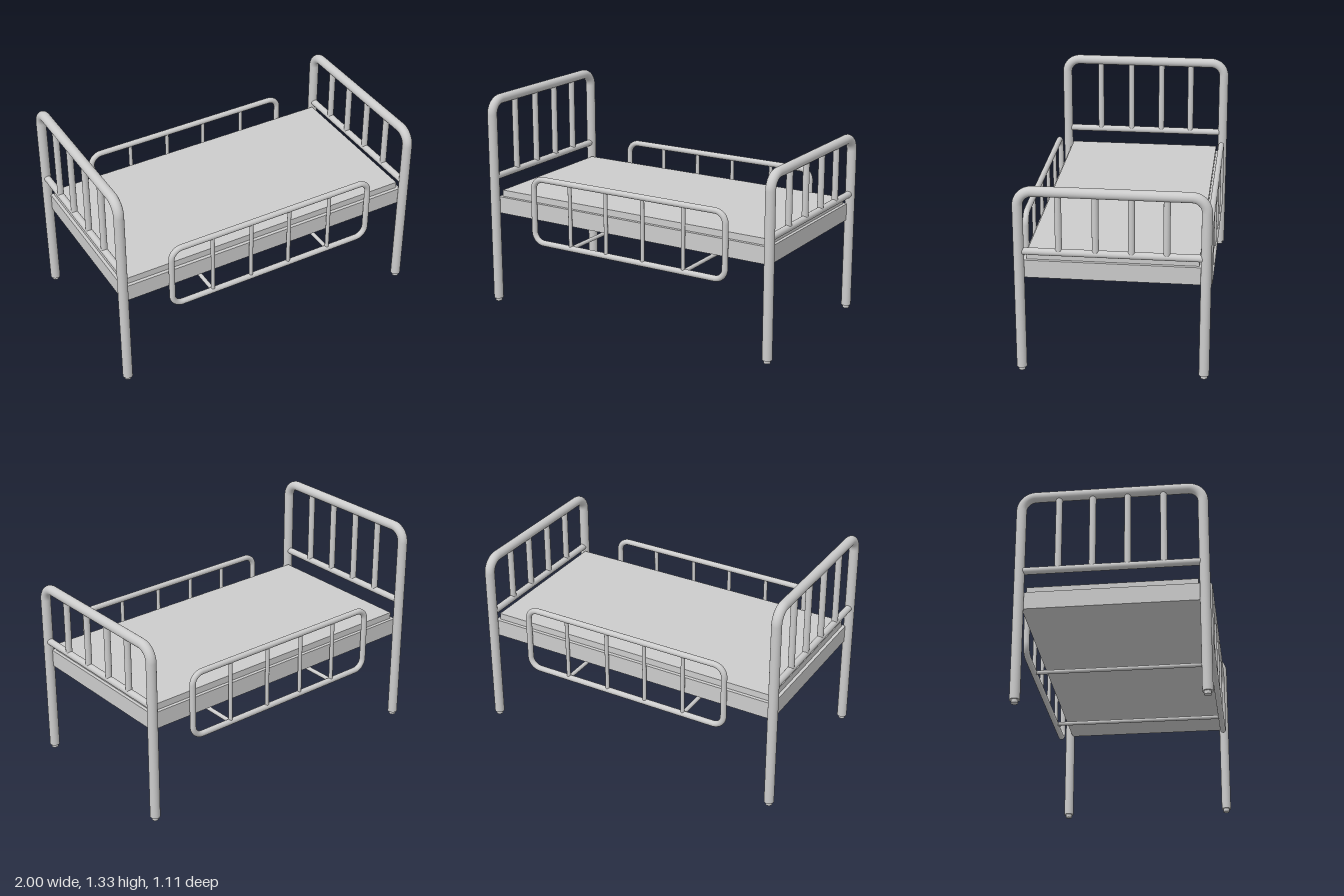
import * as THREE from 'three';

const material = new THREE.MeshStandardMaterial({ color: 0xcccccc });
const UP = new THREE.Vector3(0, 1, 0);

function add(parent, name, geometry) {
  const mesh = new THREE.Mesh(geometry, material);
  mesh.name = name;
  parent.add(mesh);
  return mesh;
}

// Straight round bar between two points
function bar(parent, name, from, to, radius) {
  const a = new THREE.Vector3(...from);
  const b = new THREE.Vector3(...to);
  const dir = b.clone().sub(a);
  const mesh = add(parent, name, new THREE.CylinderGeometry(radius, radius, dir.length(), 20));
  mesh.position.copy(a).add(b).multiplyScalar(0.5);
  mesh.quaternion.setFromUnitVectors(UP, dir.normalize());
}

// Quarter bend in the XY plane, starting at the given angle
function elbow(parent, name, x, y, bend, radius, start) {
  const mesh = add(parent, name, new THREE.TorusGeometry(bend, radius, 20, 12, Math.PI / 2));
  mesh.position.set(x, y, 0);
  mesh.rotation.z = start;
}

// Bent tube end of the bed: legs, top bar, lower rail and spindles
function bedEnd(name, x, top, railY) {
  const group = new THREE.Group();
  group.name = name;
  const r = 0.03, half = 0.526, bend = 0.085;
  const topY = top - r;
  for (const s of [-1, 1]) {
    bar(group, 'leg', [s * half, 0.02, 0], [s * half, topY - bend, 0], r);
    bar(group, 'foot', [s * half, 0, 0], [s * half, 0.03, 0], 0.02);
    elbow(group, 'topCorner', s * (half - bend), topY - bend, bend, r, s > 0 ? 0 : Math.PI / 2);
  }
  bar(group, 'topBar', [bend - half, topY, 0], [half - bend, topY, 0], r);
  bar(group, 'lowerRail', [-0.51, railY, 0], [0.51, railY, 0], 0.021);
  for (const z of [-0.306, -0.11, 0.092, 0.299]) {
    bar(group, 'spindle', [-z, railY, 0], [-z, topY, 0], 0.0195);
  }
  group.rotation.y = Math.PI / 2;
  group.position.x = x;
  return group;
}

const BAR_X = [-0.39, -0.13, 0.13, 0.41];

// Rounded guard loop with upright bars
function sideGuard(name, z) {
  const group = new THREE.Group();
  group.name = name;
  const r = 0.018, bend = 0.068;
  const left = -0.66, right = 0.688, low = 0.447, high = 0.853;
  for (const y of [low, high]) bar(group, 'guardRail', [left + bend, y, 0], [right - bend, y, 0], r);
  for (const x of [left, right]) bar(group, 'guardEnd', [x, low + bend, 0], [x, high - bend, 0], r);
  elbow(group, 'guardCorner', right - bend, high - bend, bend, r, 0);
  elbow(group, 'guardCorner', left + bend, high - bend, bend, r, Math.PI / 2);
  elbow(group, 'guardCorner', left + bend, low + bend, bend, r, Math.PI);
  elbow(group, 'guardCorner', right - bend, low + bend, bend, r, -Math.PI / 2);
  for (const x of BAR_X) bar(group, 'guardBar', [x, low, 0], [x, high, 0], 0.012);
  group.position.z = z;
  return group;
}

export function createModel() {
  const model = new THREE.Group();
  model.name = 'bed';

  // Ends
  model.add(bedEnd('headboard', -0.97, 1.328, 0.815));
  model.add(bedEnd('footboard', 0.967, 1.135, 0.745));

  // Base and the slightly inset mattress
  add(model, 'base', new THREE.BoxGeometry(1.92, 0.105, 1.016)).position.y = 0.6325;
  add(model, 'mattress', new THREE.BoxGeometry(1.88, 0.05, 0.974)).position.y = 0.7;

  // Side guards, joined by rods under the base
  model.add(sideGuard('leftGuard', 0.533), sideGuard('rightGuard', -0.533));
  for (const x of [BAR_X[0], BAR_X[3]]) {
    bar(model, 'crossRod', [x, 0.447, -0.533], [x, 0.447, 0.533], 0.0125);
  }
  return model;
}
